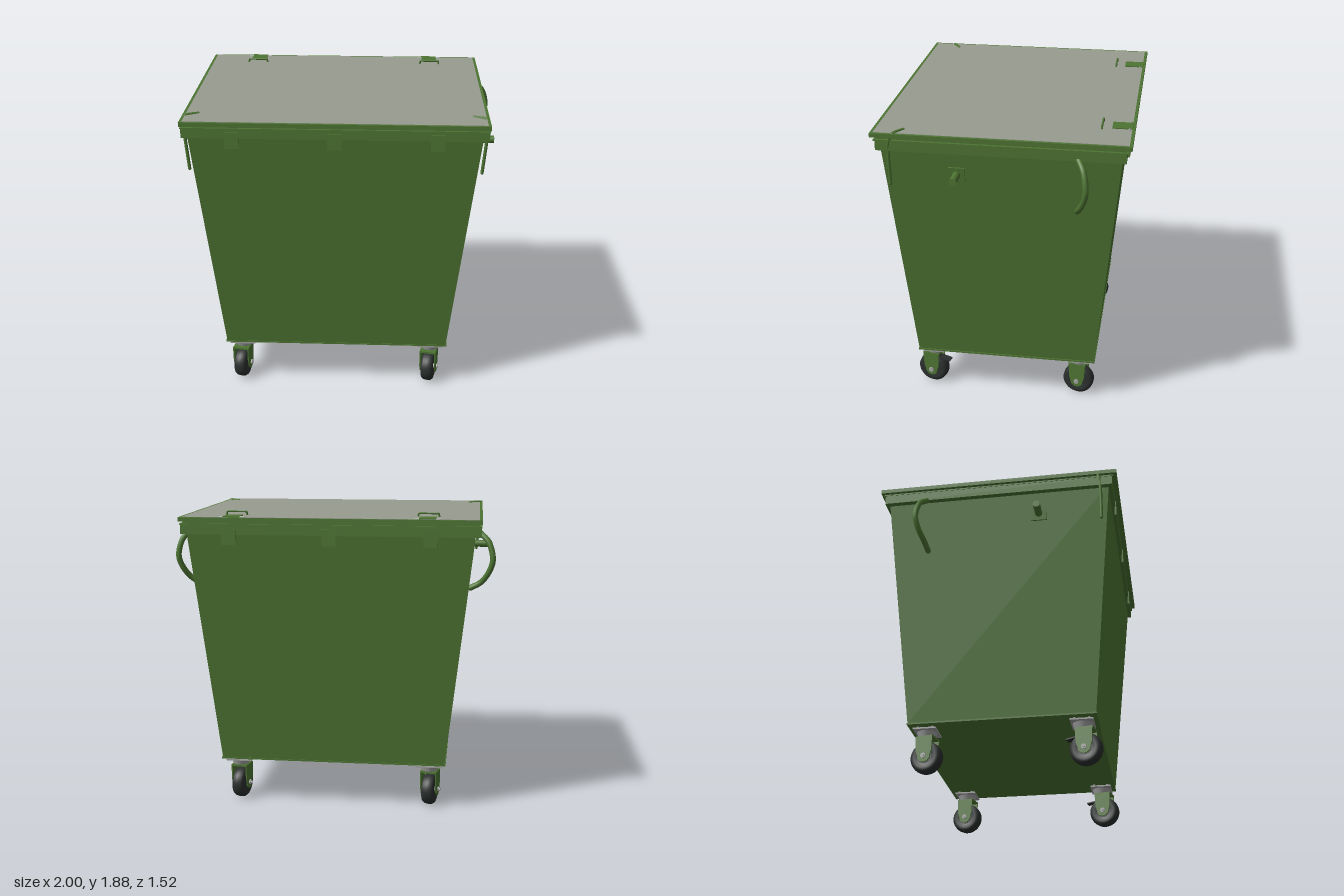
import * as THREE from 'three';

const mat = (name, color) => {
  const m = new THREE.MeshStandardMaterial({ color });
  m.name = name;
  return m;
};

export function createModel() {
  const green = mat('green paint', 0x4e7533);
  const lidGrey = mat('lid grey', 0x989b8f);
  const metal = mat('galvanised metal', 0xa3a5a3);
  const rubber = mat('black rubber', 0x2b302e);

  const root = new THREE.Group();
  root.name = 'wheeledContainer';

  const add = (parent, name, geo, material, x = 0, y = 0, z = 0) => {
    const mesh = new THREE.Mesh(geo, material);
    mesh.name = name;
    mesh.position.set(x, y, z);
    parent.add(mesh);
    return mesh;
  };
  const box = (parent, name, material, w, h, d, x, y, z) =>
    add(parent, name, new THREE.BoxGeometry(w, h, d), material, x, y, z);

  // Round bar along points, with rounded ends
  const bar = (parent, name, pts, r, material, smooth = true) => {
    const v = pts.map(p => new THREE.Vector3(...p));
    const curve = new THREE.CatmullRomCurve3(v, false, 'catmullrom', smooth ? 0.5 : 0.02);
    add(parent, name, new THREE.TubeGeometry(curve, 40, r, 10), material);
    for (const p of [v[0], v[v.length - 1]])
      add(parent, name + 'End', new THREE.SphereGeometry(r, 10, 8), material, p.x, p.y, p.z);
  };

  // Tapered body: a box whose lower corners are drawn in
  const bodyGeo = new THREE.BoxGeometry(2, 1.48, 2);
  const pos = bodyGeo.attributes.position;
  for (let i = 0; i < pos.count; i++) {
    const top = pos.getY(i) > 0;
    pos.setX(i, pos.getX(i) * (top ? 0.878 : 0.713));
    pos.setZ(i, pos.getZ(i) * (top ? 0.708 : 0.57));
  }
  bodyGeo.computeVertexNormals();
  add(root, 'body', bodyGeo, green, 0, 1.035, 0);
  box(root, 'floorFlange', green, 1.44, 0.01, 1.146, 0, 0.29, 0);

  // Rim with hanging tabs
  box(root, 'rim', green, 1.82, 0.06, 1.46, 0, 1.78, 0);
  box(root, 'rimLip', green, 1.825, 0.008, 1.48, 0, 1.812, 0);
  box(root, 'lidSeat', green, 1.79, 0.02, 1.45, 0, 1.825, 0);
  for (const sz of [1, -1])
    for (const x of [-0.61, 0, 0.61])
      box(root, 'rimTab', green, 0.085, 0.1, 0.012, x, 1.738, sz * 0.73);

  // Lid with grey top panel
  box(root, 'lidFrame', green, 1.83, 0.026, 1.52, 0, 1.842, 0);
  box(root, 'lidPanel', lidGrey, 1.795, 0.004, 1.485, 0, 1.855, 0);

  for (const s of [1, -1]) {
    // Lid hinge plates, pins and grips
    const x = s * 0.59;
    box(root, 'hingePlate', green, 0.1, 0.006, 0.12, x, 1.86, -0.685);
    const pin = add(root, 'hingePin', new THREE.CylinderGeometry(0.008, 0.008, 0.155, 10), metal, x, 1.855, -0.727);
    pin.rotation.z = Math.PI / 2;
    bar(root, 'lidGrip', [
      [x - 0.065, 1.852, -0.567], [x - 0.06, 1.878, -0.567],
      [x + 0.06, 1.878, -0.567], [x + 0.065, 1.852, -0.567]], 0.006, green, false);

    // Curved side handles
    bar(root, 'sideHandle', [
      [s * 0.895, 1.758, -0.455], [s * 0.955, 1.7, -0.492], [s * 0.982, 1.6, -0.508],
      [s * 0.962, 1.52, -0.495], [s * 0.915, 1.45, -0.465], [s * 0.85, 1.41, -0.45]], 0.018, green);

    // Lifting trunnions on wall plates
    const peg = add(root, 'trunnion', new THREE.CylinderGeometry(0.023, 0.023, 0.14, 20), green, s * 0.91, 1.605, 0.26);
    peg.rotation.z = Math.PI / 2;
    const plate = box(root, 'trunnionPlate', green, 0.012, 0.09, 0.1, s * 0.863, 1.605, 0.26);
    plate.rotation.z = -s * 0.11;

    // Front corner levers, bent over the lid
    bar(root, 'cornerLever', [
      [s * 0.825, 1.855, 0.578], [s * 0.895, 1.855, 0.622], [s * 0.905, 1.82, 0.645],
      [s * 0.9, 1.75, 0.655], [s * 0.88, 1.53, 0.655]], 0.01, green);
  }

  // Shared caster shapes
  const tyreGeo = new THREE.LatheGeometry([
    [0.045, -0.034], [0.07, -0.04], [0.087, -0.036], [0.097, -0.024], [0.1, 0],
    [0.097, 0.024], [0.087, 0.036], [0.07, 0.04], [0.045, 0.034]
  ].map(p => new THREE.Vector2(...p)), 36);
  const forkShape = new THREE.Shape();
  forkShape.moveTo(-0.055, 0.225);
  forkShape.lineTo(-0.05, 0.13);
  forkShape.absarc(0, 0.1, 0.04, Math.PI, Math.PI * 2, false);
  forkShape.lineTo(0.05, 0.13);
  forkShape.lineTo(0.055, 0.225);
  const forkGeo = new THREE.ExtrudeGeometry(forkShape, { depth: 0.008, bevelEnabled: false });

  const caster = (x, z, front) => {
    const g = new THREE.Group();
    g.name = front ? 'frontCaster' : 'rearCaster';
    g.position.set(x, 0, z);
    root.add(g);

    // Mounting plate, bolts and swivel
    box(g, 'mountPlate', metal, 0.165, 0.01, 0.14, 0, 0.267, 0);
    for (const bx of [-0.055, 0.055])
      for (const bz of [-0.045, 0.045])
        add(g, 'bolt', new THREE.CylinderGeometry(0.009, 0.009, 0.03, 8), metal, bx, 0.277, bz);
    add(g, 'swivel', new THREE.CylinderGeometry(0.062, 0.05, 0.034, 24), metal, 0, 0.246, 0);

    // Turned fork and wheel
    const turn = new THREE.Group();
    turn.name = 'swivelFork';
    turn.rotation.y = -0.2;
    turn.position.set(-0.005, 0, front ? 0.018 : 0.005);
    g.add(turn);
    box(turn, 'forkCrown', green, 0.1, 0.012, 0.11, 0, 0.222, 0);
    for (const fx of [-0.053, 0.045])
      add(turn, 'forkArm', forkGeo, green, fx, 0, 0).rotation.y = Math.PI / 2;
    const disc = (name, r, len, m) =>
      { add(turn, name, new THREE.CylinderGeometry(r, r, len, 20), m, 0, 0.1, 0).rotation.z = Math.PI / 2; };
    add(turn, 'tyre', tyreGeo, rubber, 0, 0.1, 0).rotation.z = Math.PI / 2;
    disc('wheelHub', 0.05, 0.066, rubber);
    disc('axle', 0.016, 0.122, metal);
    disc('axleBolt', 0.008, 0.136, metal);
    if (front) {
      const lever = box(turn, 'brakeLever', rubber, 0.05, 0.007, 0.07, 0, 0.175, -0.085);
      lever.rotation.x = -0.15;
    }
  };
  for (const x of [-0.615, 0.615]) {
    caster(x, 0.48, true);
    caster(x, -0.47, false);
  }

  return root;
}
